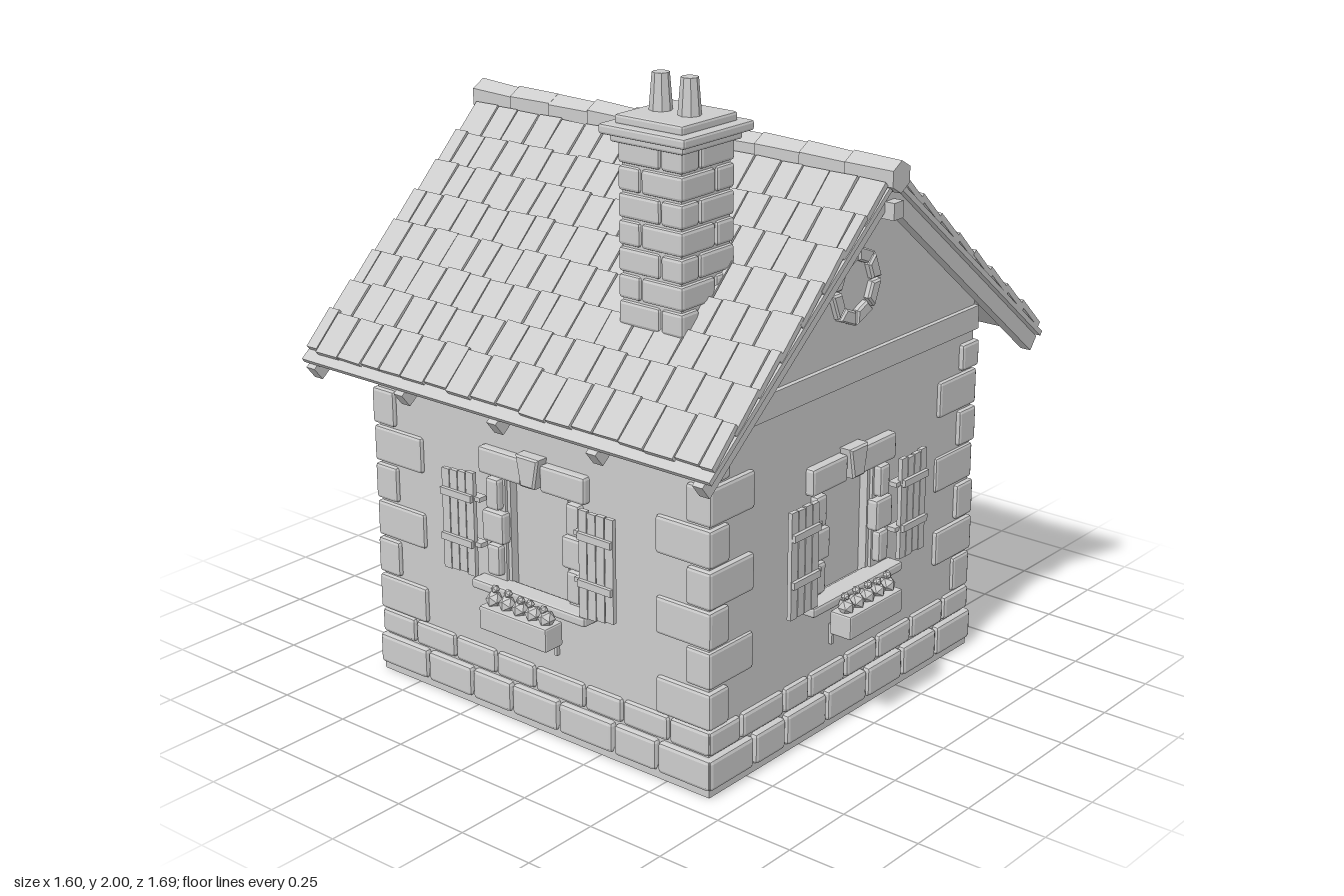
import * as THREE from 'three';
import { RoundedBoxGeometry } from 'three/addons/geometries/RoundedBoxGeometry.js';

const stone = new THREE.MeshStandardMaterial({ color: 0xcccccc, flatShading: true });
stone.name = 'light grey';

let seed = 7;
const rnd = (a) => {
  seed = (seed * 16807) % 2147483647;
  return (seed / 2147483647 - 0.5) * 2 * a;
};

function add(parent, name, geo, x = 0, y = 0, z = 0) {
  const m = new THREE.Mesh(geo, stone);
  m.name = name;
  m.position.set(x, y, z);
  parent.add(m);
  return m;
}
const box = (p, name, w, h, d, x, y, z) => add(p, name, new THREE.BoxGeometry(w, h, d), x, y, z);
// chamfered stone block
const block = (p, name, w, h, d, x, y, z, r = 0.01) =>
  add(p, name, new RoundedBoxGeometry(w, h, d, 1, r), x, y, z);
function group(parent, name, x = 0, y = 0, z = 0, ry = 0) {
  const g = new THREE.Group();
  g.name = name;
  g.position.set(x, y, z);
  g.rotation.y = ry;
  parent.add(g);
  return g;
}
function poly(pts, Type = THREE.Shape) {
  return new Type(pts.map(([x, y]) => new THREE.Vector2(x, y)));
}
const slab = (shape, depth) =>
  new THREE.ExtrudeGeometry(shape, { depth, bevelEnabled: false, curveSegments: 10 });

// ring of wedge stones in the XY plane
function wedges(parent, name, n, r0, r1, a0, a1, depth, cy) {
  const step = (a1 - a0) / n, b = 0.006;
  for (let i = 0; i < n; i++) {
    const a = a0 + i * step, g0 = (b + 0.003) / r0, g1 = (b + 0.003) / r1;
    const at = (r, t) => [r * Math.cos(t), r * Math.sin(t)];
    const s = poly([at(r0 + b, a + g0), at(r1 - b, a + g1), at(r1 - b, a + step - g1), at(r0 + b, a + step - g0)]);
    add(parent, name, new THREE.ExtrudeGeometry(s, {
      depth: depth - b, bevelSize: b, bevelThickness: b, bevelSegments: 1 }), 0, cy, 0);
  }
}

const W = 0.645, T = 0.05, APEX = 1.68, SLOPE = Math.atan(0.8);
const windowHole = () => poly([[-0.125, 0.43], [-0.125, 0.79], [0.125, 0.79], [0.125, 0.43]], THREE.Path);

// window with stone surround, shutters and optional flower box; wall surface at z = 0
function makeWindow(parent, name, x, z, ry, planter) {
  const g = group(parent, name, x, 0, z, ry);
  box(g, 'windowPane', 0.25, 0.36, 0.006, 0, 0.61, -0.04);
  for (const s of [-1, 1]) {
    box(g, 'windowFrameSide', 0.015, 0.36, 0.03, s * 0.12, 0.61, -0.025);
    block(g, 'lintelStone', 0.17, 0.085, 0.045, s * 0.123, 0.82, 0.005);
    [[0.05, 0.72], [0.085, 0.615], [0.05, 0.51]].forEach(([w, y]) =>
      block(g, 'jambStone', w, 0.1, 0.04, s * 0.158, y, 0.005));
    // shutter planks and battens
    for (let i = 0; i < 4; i++)
      box(g, 'shutterPlank', 0.03, 0.325 + rnd(0.008), 0.014, s * (0.222 + i * 0.033), 0.613 + rnd(0.004), 0.042);
    for (const y of [0.7, 0.555]) {
      box(g, 'shutterBatten', 0.125, 0.022, 0.012, s * 0.272, y, 0.054);
      box(g, 'shutterHinge', 0.06, 0.014, 0.03, s * 0.215, y, 0.03);
    }
  }
  add(g, 'keystone', new THREE.ExtrudeGeometry(
    poly([[-0.022, 0.79], [0.022, 0.79], [0.038, 0.873], [-0.038, 0.873]]),
    { depth: 0.035, bevelSize: 0.006, bevelThickness: 0.006, bevelSegments: 1 }));
  block(g, 'windowSill', 0.45, 0.032, 0.07, 0, 0.428, 0.015, 0.008);
  if (!planter) return;
  block(g, 'flowerBox', 0.265, 0.075, 0.075, 0, 0.366, 0.077, 0.006);
  for (const s of [-1, 1]) {
    box(g, 'flowerBoxBracket', 0.01, 0.012, 0.08, s * 0.077, 0.324, 0.04);
    box(g, 'flowerBoxBracket', 0.01, 0.065, 0.012, s * 0.077, 0.3, 0.006);
  }
  for (let i = 0; i < 5; i++) {
    const fx = (i - 2) * 0.052;
    add(g, 'flowerLeaves', new THREE.IcosahedronGeometry(0.027, 0), fx, 0.418, 0.077);
    add(g, 'flower', new THREE.IcosahedronGeometry(0.014, 0), fx + rnd(0.01), 0.45 + rnd(0.006), 0.08);
  }
}

function makeWalls(house) {
  const g = group(house, 'walls');
  const side = [[-W, 0], [W, 0], [W, 1.15], [-W, 1.15]];
  const front = poly(side);
  front.holes.push(windowHole());
  add(g, 'frontWall', slab(front, T), 0, 0, W - T);
  const back = poly(side);
  const door = poly([[-0.235, 0.06], [0.235, 0.06]], THREE.Path);
  door.absarc(0, 0.6, 0.235, 0, Math.PI, false);
  door.closePath();
  back.holes.push(door);
  add(g, 'backWall', slab(back, T), 0, 0, -W);
  for (const s of [-1, 1]) {
    const gable = poly([[-W, 0], [W, 0], [W, APEX - 0.8 * W], [0, APEX], [-W, APEX - 0.8 * W]]);
    gable.holes.push(windowHole());
    const e = group(g, s > 0 ? 'rightGable' : 'leftGable', s * W, 0, 0, s * Math.PI / 2);
    add(e, 'gableWall', slab(gable, T), 0, 0, -T);
    box(e, 'gableBeam', 1.3, 0.075, 0.03, 0, 1.107, 0);
    wedges(e, 'roundWindowStone', 8, 0.073, 0.118, 0, Math.PI * 2, 0.02, 1.36);
  }
  // floor and planks
  box(g, 'floorSlab', 1.31, 0.04, 1.31, 0, 0.02, 0);
  for (let i = 0; i < 12; i++) box(g, 'floorPlank', 1.18, 0.02, 0.092, 0, 0.05, (i - 5.5) * 0.098);
}

function makeStonework(house) {
  const g = group(house, 'stonework');
  // corner stones, long side alternating
  for (const sx of [-1, 1]) for (const sz of [-1, 1])
    for (let i = 0; i < 7; i++) {
      const w = i % 2 ? 0.09 : 0.2, d = i % 2 ? 0.2 : 0.09, h = i === 6 ? 0.085 : 0.115;
      const out = 0.658 + rnd(0.004);
      block(g, 'cornerStone', w, h, d, sx * (out - w / 2), 0.21 + i * 0.123 + h / 2, sz * (out - d / 2));
    }
  // two base courses, open at the doorway
  for (let k = 0; k < 4; k++) {
    const e = group(g, 'baseCourse', 0, 0, 0, k * Math.PI / 2);
    [[7, 0.072, 0.098, 0.667], [8, 0.167, 0.078, 0.66]].forEach(([n, y, h, r]) => {
      let x = -r;
      for (let i = 0; i < n; i++) {
        const next = i === n - 1 ? r : -r + (i + 1) * 2 * r / n + rnd(0.025);
        const lo = x, hi = next;
        x = next;
        const spans = k !== 2 ? [[lo, hi]] : [[lo, Math.min(hi, -0.24)], [Math.max(lo, 0.24), hi]];
        for (const [a, b] of spans)
          if (b - a > 0.03) block(e, 'baseStone', b - a - 0.008, h, 0.06, (a + b) / 2, y, r - 0.03, 0.012);
      }
    });
  }
}

function makeDoor(house) {
  const g = group(house, 'doorway', 0, 0, -W, Math.PI);
  wedges(g, 'archStone', 11, 0.235, 0.335, 0, Math.PI, 0.03, 0.6);
  box(g, 'doorStep', 0.65, 0.03, 0.21, 0, 0.015, 0.11);
  for (const s of [-1, 1]) {
    for (let i = 0; i < 4; i++) {
      const w = i % 2 ? 0.075 : 0.11;
      block(g, 'doorJambStone', w, 0.092, 0.05, s * (0.235 + w / 2), 0.26 + i * 0.098, 0.005);
    }
    // open door leaf made of three planks, curved at the top
    const leaf = group(g, 'doorLeaf', s * 0.235, 0, 0.015);
    const top = (u) => 0.6 + Math.sqrt(Math.max(0, 0.0552 - (0.235 - u) ** 2));
    for (let i = 0; i < 3; i++) {
      const a = i * 0.07 + 0.002, b = a + 0.066;
      const pts = [[a, 0.08], [b, 0.08]];
      for (let j = 4; j >= 0; j--) pts.push([a + (b - a) * j / 4, top(a + (b - a) * j / 4)]);
      const m = add(leaf, 'doorPlank', slab(poly(pts), 0.02), -0.01, 0, 0);
      m.rotation.y = -Math.PI / 2;
      m.position.x = 0.01;
    }
    for (const y of [0.2, 0.6]) box(leaf, 'doorBatten', 0.032, 0.035, 0.18, 0, y, 0.1);
    add(leaf, 'doorKnob', new THREE.IcosahedronGeometry(0.016, 1), s * 0.02, 0.42, 0.18);
  }
  // hanging sign (its own -x side after turning) and lamp
  const sign = group(g, 'hangingSign', -0.385, 0, 0);
  box(sign, 'signBar', 0.014, 0.012, 0.215, 0, 0.935, 0.11);
  box(sign, 'signBoard', 0.016, 0.115, 0.14, 0, 0.84, 0.13);
  for (const z of [0.08, 0.17]) box(sign, 'signHook', 0.006, 0.04, 0.006, 0, 0.915, z);
  box(sign, 'signBrace', 0.01, 0.01, 0.09, 0, 0.9, 0.035).rotation.x = -0.8;
  const lamp = group(g, 'wallLamp', 0.395, 0, 0);
  box(lamp, 'lampArm', 0.012, 0.012, 0.1, 0, 0.85, 0.05);
  box(lamp, 'lampPlate', 0.03, 0.06, 0.012, 0, 0.84, 0.008);
  add(lamp, 'lampGlass', new THREE.CylinderGeometry(0.026, 0.018, 0.055, 6), 0, 0.79, 0.085);
  add(lamp, 'lampCap', new THREE.ConeGeometry(0.034, 0.025, 6), 0, 0.83, 0.085);
}

function makeRoof(house) {
  const roof = group(house, 'roof');
  for (const yaw of [0, Math.PI]) {
    const half = group(roof, yaw ? 'backRoof' : 'frontRoof', 0, 1.69, 0, yaw);
    const g = group(half, 'roofSlope');
    g.rotation.x = SLOPE;
    box(g, 'roofDeck', 1.57, 0.016, 1.045, 0, 0, 0.5225);
    for (let i = -2; i <= 2; i++) box(g, 'rafter', 0.035, 0.05, 1.06, i * 0.373, -0.032, 0.53);
    // rows of staggered tiles, each tipped up at its lower edge
    for (let r = 0; r < 8; r++) {
      const n = 17, p = 1.57 / n, shift = r % 2 ? p / 2 : 0;
      let x = -0.785;
      for (let i = 1; i <= n + (shift ? 1 : 0); i++) {
        const last = i === n + (shift ? 1 : 0);
        const next = last ? 0.785 : -0.785 + i * p - shift + rnd(0.012);
        const t = box(g, 'roofTile', next - x - 0.005, 0.018, 0.14, (x + next) / 2, 0.021 + rnd(0.002), 0.038 + r * 0.1195 + 0.068 + rnd(0.005));
        t.rotation.set(0.09, rnd(0.02), rnd(0.02));
        x = next;
      }
    }
  }
  // ridge beam and hexagonal ridge caps
  box(roof, 'ridgeBeam', 1.59, 0.05, 0.045, 0, 1.605, 0);
  for (let i = 0; i < 10; i++) {
    const m = add(roof, 'ridgeCap', new THREE.CylinderGeometry(0.052, 0.047, 0.162, 6), -0.72 + i * 0.16, 1.705 + rnd(0.003), 0);
    m.rotation.set(Math.PI / 2, 0, Math.PI / 2 + rnd(0.03), 'ZYX');
    m.rotation.set(0, 0, Math.PI / 2 + rnd(0.03));
    m.geometry.rotateY(Math.PI / 2);
  }
}

function makeChimney(house) {
  const g = group(house, 'chimney', 0.35, 0, 0.43);
  box(g, 'chimneyCore', 0.21, 0.6, 0.21, 0, 1.53, 0);
  // four bricks per course with shifting joints
  for (let r = 0; r < 8; r++) {
    const j = (r % 2 ? 1 : -1) * 0.035, y = 1.255 + r * 0.077;
    for (const sx of [-1, 1]) for (const sz of [-1, 1]) {
      const w = 0.118 - sx * j, d = 0.118 - sz * j;
      block(g, 'chimneyBrick', w - 0.006, 0.071, d - 0.006, sx * (0.118 - w / 2), y, sz * (0.118 - d / 2));
    }
  }
  block(g, 'chimneyCollar', 0.26, 0.03, 0.26, 0, 1.832, 0, 0.008);
  block(g, 'chimneySlab', 0.305, 0.03, 0.305, 0, 1.855, 0, 0.008);
  block(g, 'chimneyTop', 0.24, 0.03, 0.24, 0, 1.88, 0, 0.008);
  for (const x of [-0.055, 0.047])
    add(g, 'chimneyPot', new THREE.CylinderGeometry(0.025, 0.034, 0.11, 8), x, 1.945, 0);
}

export function createModel() {
  const model = new THREE.Group();
  model.name = 'stoneCottage';
  const house = group(model, 'house', 0, 0, 0.016);
  makeWalls(house);
  makeStonework(house);
  makeWindow(house, 'frontWindow', 0, W, 0, true);
  makeWindow(house, 'rightWindow', W, 0, Math.PI / 2, true);
  makeWindow(house, 'leftWindow', -W, 0, -Math.PI / 2, false);
  makeDoor(house);
  makeRoof(house);
  makeChimney(house);
  return model;
}
